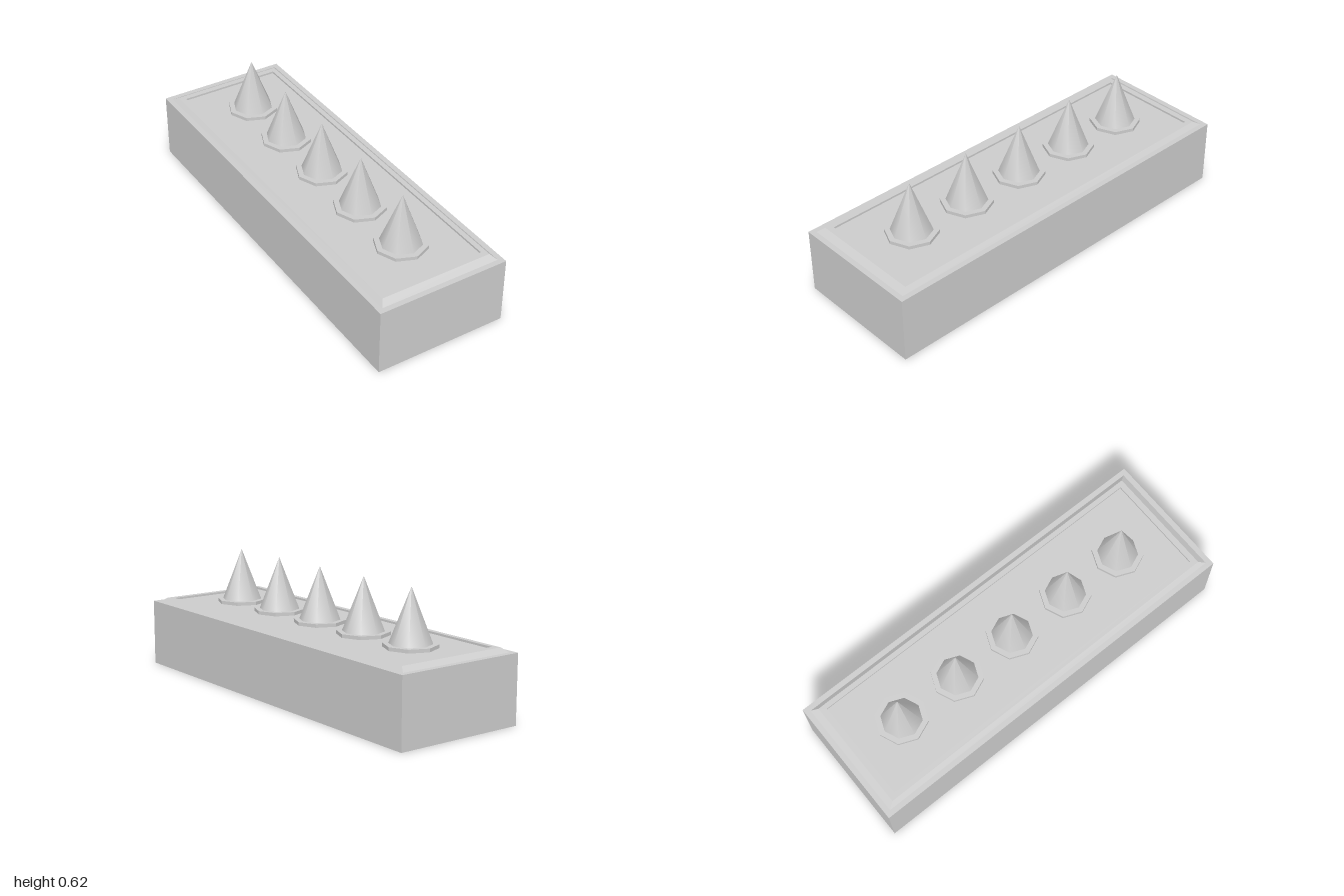
import * as THREE from 'three';

const material = new THREE.MeshStandardMaterial({ color: 0xcccccc });

function addPart(parent, name, geometry, x, y, z) {
  const mesh = new THREE.Mesh(geometry, material);
  mesh.name = name;
  mesh.position.set(x, y, z);
  parent.add(mesh);
  return mesh;
}

// Flat-shaded skin over stacked rectangles [halfX, y, halfZ], capped at the last one
function rectangleLoft(rings) {
  const loops = rings.map(([x, y, z]) => [[x, y, z], [x, y, -z], [-x, y, -z], [-x, y, z]]);
  const points = [];
  const quad = (a, b, c, d) => points.push(...a, ...b, ...c, ...a, ...c, ...d);
  for (let r = 0; r < loops.length - 1; r++) {
    for (let i = 0; i < 4; i++) {
      const j = (i + 1) % 4;
      quad(loops[r][i], loops[r][j], loops[r + 1][j], loops[r + 1][i]);
    }
  }
  quad(...loops[loops.length - 1]);
  const geometry = new THREE.BufferGeometry();
  geometry.setAttribute('position', new THREE.Float32BufferAttribute(points, 3));
  geometry.computeVertexNormals();
  return geometry;
}

export function createModel() {
  const model = new THREE.Group();
  model.name = 'spikeTrap';

  const baseHeight = 0.333;
  addPart(model, 'baseBlock', new THREE.BoxGeometry(0.667, baseHeight, 2), 0, baseHeight / 2, 0);

  // Bevelled top plate with a shallow sunken floor
  const floorY = 0.343;
  addPart(model, 'topPlate', rectangleLoft([
    [0.307, baseHeight, 0.973],
    [0.285, 0.353, 0.94],
    [0.26, 0.353, 0.91],
    [0.26, floorY, 0.91],
  ]), 0, 0, 0);

  // Row of five spikes, each on an eight-sided collar
  const collarTop = 0.36;
  const spikeHeight = 0.257;
  const collar = new THREE.CylinderGeometry(0.127, 0.127, collarTop - floorY, 8).toNonIndexed();
  collar.computeVertexNormals();
  const cone = new THREE.ConeGeometry(0.1, spikeHeight, 8);
  for (let i = -2; i <= 2; i++) {
    const spike = new THREE.Group();
    spike.name = `spike${i + 3}`;
    spike.position.z = i / 3;
    addPart(spike, 'collar', collar, 0, (floorY + collarTop) / 2, 0);
    addPart(spike, 'cone', cone, 0, collarTop + spikeHeight / 2, 0);
    model.add(spike);
  }
  return model;
}
